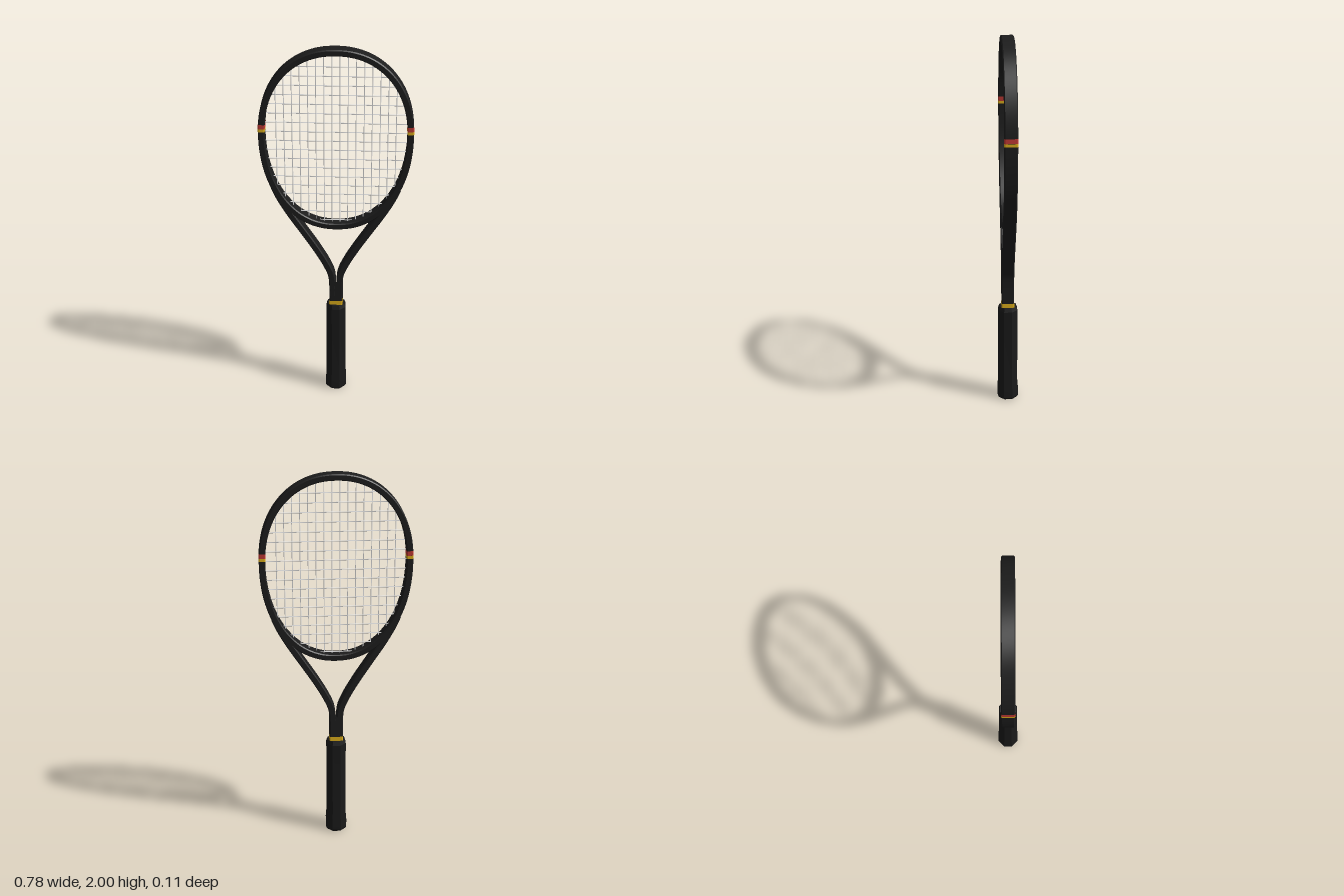
import * as THREE from 'three';
import { toCreasedNormals } from 'three/addons/utils/BufferGeometryUtils.js';

// Centre line of the hoop: a slightly squared oval, longer below its widest point
const CY = 1.55, A = 0.372, TOP = 0.433, BOTTOM = 0.525, P = 2.15;
const V = (x, y) => new THREE.Vector3(x, y, 0);
const bulge = (v) => Math.pow(1 - Math.pow(Math.abs(v), P), 1 / P);
const soften = (v) => Math.sign(v) * Math.pow(Math.abs(v), 2 / P);
const hoopX = (y) => A * bulge((y - CY) / (y > CY ? TOP : BOTTOM));

// Sweep a chamfered rectangle along a curve lying in the xy plane
function sweep(curve, steps, w, d, c = 0.005) {
  const ring = [[w, c - d], [w, d - c], [w - c, d], [c - w, d], [-w, d - c], [-w, c - d], [c - w, -d], [w - c, -d]];
  const m = ring.length, pos = [], index = [];
  for (let i = 0; i <= steps; i++) {
    const p = curve.getPoint(i / steps), t = curve.getTangent(i / steps);
    for (const [n, z] of ring) pos.push(p.x + t.y * n, p.y - t.x * n, z);
    if (i === steps) break;
    for (let j = 0; j < m; j++) {
      const a = i * m + j, b = i * m + (j + 1) % m;
      index.push(a, a + m, b, b, a + m, b + m);
    }
  }
  const g = new THREE.BufferGeometry();
  g.setAttribute('position', new THREE.Float32BufferAttribute(pos, 3));
  g.setIndex(index);
  return toCreasedNormals(g, 0.6);
}

export function createModel() {
  const root = new THREE.Group();
  root.name = 'racket';
  const material = (name, color) => {
    const m = new THREE.MeshStandardMaterial({ color });
    m.name = name;
    return m;
  };
  const black = material('frame black', 0x1d1d1d);
  const gripBlack = material('grip black', 0x1a1a1a);
  const stringWhite = material('string white', 0xe8e8e8);
  const red = material('stripe red', 0xc23a34);
  const yellow = material('stripe yellow', 0xe0b11c);
  const add = (name, geo, mat, x = 0, y = 0, z = 0, parent = root) => {
    const mesh = new THREE.Mesh(geo, mat);
    mesh.name = name;
    mesh.position.set(x, y, z);
    parent.add(mesh);
    return mesh;
  };

  // Hoop
  const oval = [];
  for (let i = 0; i < 64; i++) {
    const a = i / 64 * Math.PI * 2, s = soften(Math.sin(a));
    oval.push(V(A * soften(Math.cos(a)), CY + s * (s > 0 ? TOP : BOTTOM)));
  }
  add('hoop', sweep(new THREE.CatmullRomCurve3(oval, true), 128, 0.0165, 0.033), black);

  // Throat arms running on from the hoop, and thin colour sleeves on each side
  for (const s of [-1, 1]) {
    const path = [[0.317, 1.25], [0.288, 1.185], [0.24, 1.1], [0.172, 0.995], [0.105, 0.89], [0.054, 0.8], [0.025, 0.73], [0.018, 0.66], [0.018, 0.6]];
    const curve = new THREE.CatmullRomCurve3(path.map(([x, y]) => V(s * x, y)));
    add('throatArm', sweep(curve, 48, 0.017, 0.033), black);
    const sleeve = (y0, y1) => sweep(new THREE.LineCurve3(V(s * hoopX(y0), y0), V(s * hoopX(y1), y1)), 1, 0.0175, 0.034);
    add('redBand', sleeve(1.574, 1.598), red);
    add('yellowBand', sleeve(1.558, 1.574), yellow);
  }

  // Shaft and collar
  add('shaft', sweep(new THREE.LineCurve3(V(0, 0.53), V(0, 0.69)), 1, 0.035, 0.0325, 0.006), black);
  add('collar', sweep(new THREE.LineCurve3(V(0, 0.546), V(0, 0.57)), 1, 0.036, 0.034, 0.005), yellow);

  // Eight-sided grip with a flared butt
  const k = 1 / Math.cos(Math.PI / 8);
  const profile = [[0, 0], [0.048, 0], [0.055, 0.012], [0.055, 0.06], [0.051, 0.11], [0.051, 0.525], [0.044, 0.546], [0, 0.547]]
    .map(([r, y]) => new THREE.Vector2(r * k, y));
  add('grip', toCreasedNormals(new THREE.LatheGeometry(profile, 8, Math.PI / 8), 0.2), gripBlack);

  // String bed
  const strings = new THREE.Group();
  strings.name = 'strings';
  root.add(strings);
  const R = 0.0026;
  for (let i = 0; i < 16; i++) {
    const x = (i - 7.5) * 0.04, h = bulge(x / A);
    const y0 = CY - BOTTOM * h, y1 = CY + TOP * h;
    add('mainString', new THREE.CylinderGeometry(R, R, y1 - y0, 6), stringWhite, x, (y0 + y1) / 2, 0.002, strings);
  }
  for (let i = 0; i < 18; i++) {
    const y = 1.05 + i * 0.05;
    add('crossString', new THREE.CylinderGeometry(R, R, 2 * hoopX(y), 6), stringWhite, 0, y, -0.002, strings).rotation.z = Math.PI / 2;
  }
  return root;
}
